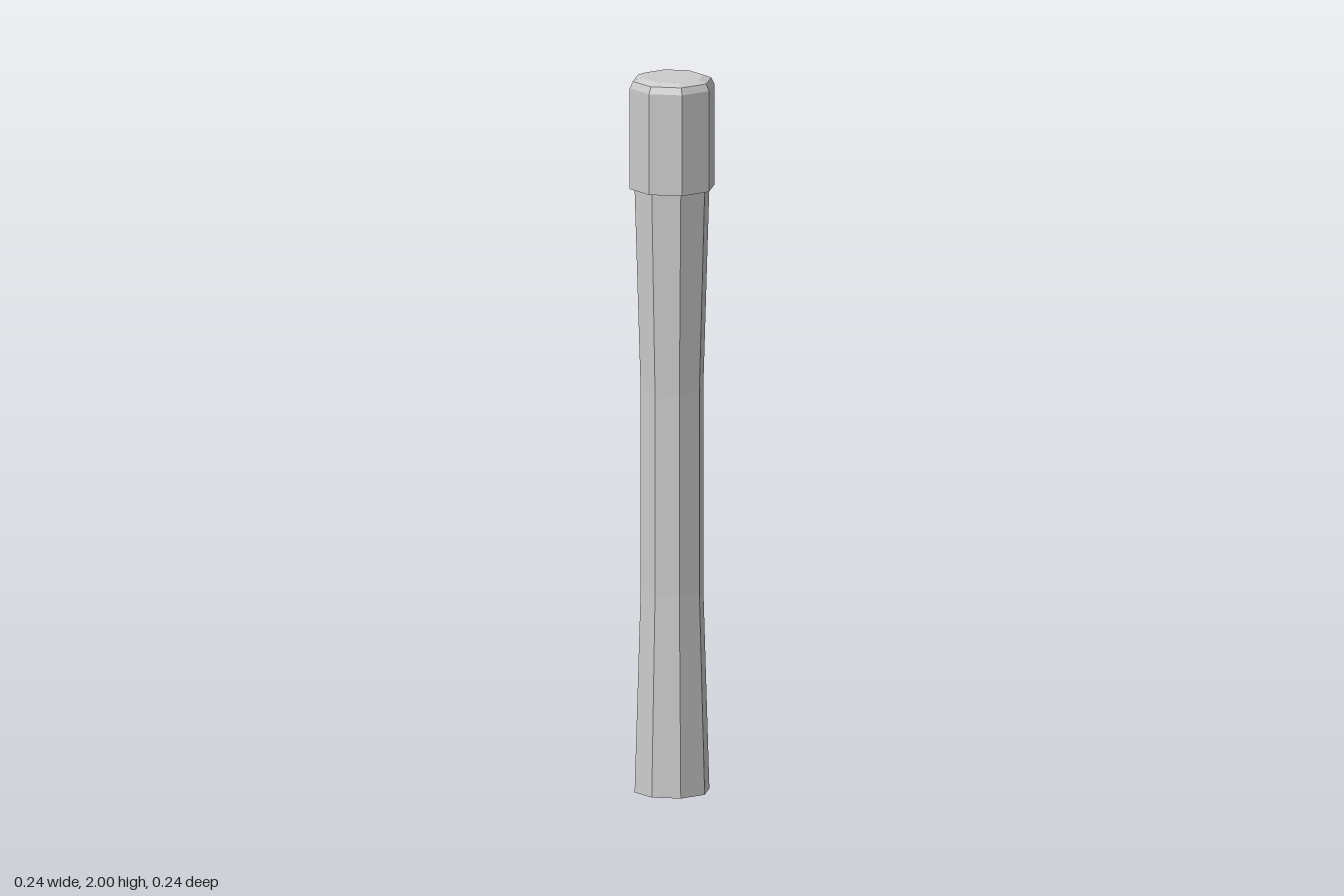
import * as THREE from 'three';

const SIDES = 8;
const material = new THREE.MeshStandardMaterial({ color: 0xcccccc, flatShading: true });

// Faceted turned part from [radius, height] pairs, listed bottom to top
function turned(name, profile) {
  const points = profile.map(([r, y]) => new THREE.Vector2(r, y));
  const mesh = new THREE.Mesh(new THREE.LatheGeometry(points, SIDES), material);
  mesh.name = name;
  return mesh;
}

export function createModel() {
  const group = new THREE.Group();
  group.name = 'handle';

  // Waisted grip, flaring towards both ends
  group.add(turned('grip', [
    [0, 0], [0.105, 0], [0.088, 0.563], [0.088, 1.127], [0.105, 1.69],
  ]));

  // Wider cap with a rim underneath and a bevelled top edge
  group.add(turned('cap', [
    [0.105, 1.69], [0.119, 1.69], [0.119, 1.972], [0.11, 1.991], [0.087, 2], [0, 2],
  ]));

  return group;
}
